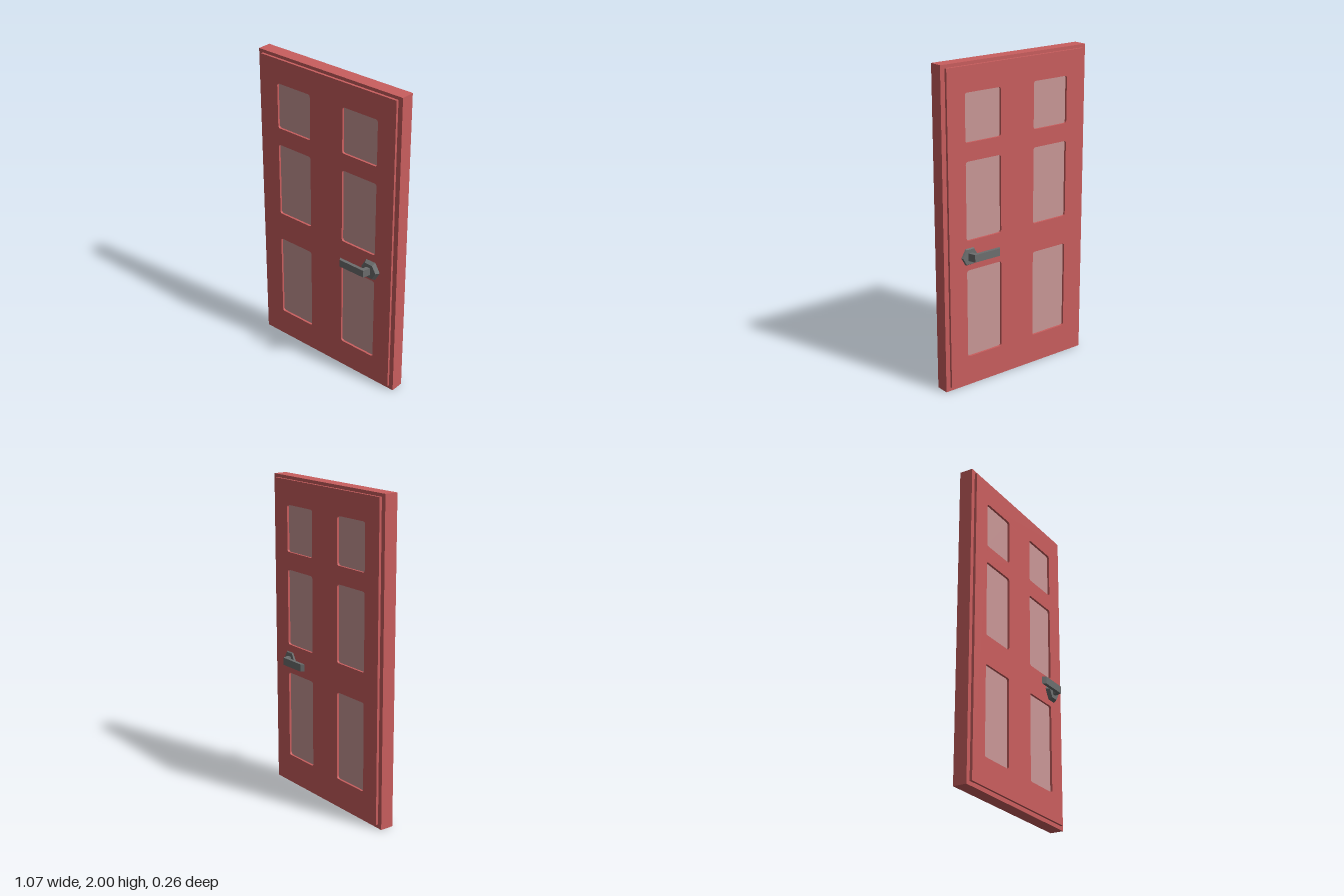
import * as THREE from 'three';

export function createModel() {
  const model = new THREE.Group();
  const red = new THREE.MeshStandardMaterial({ name: 'red paint', color: 0xc95e5e });
  const glass = new THREE.MeshStandardMaterial({ name: 'pale pane', color: 0xc99796 });
  const metal = new THREE.MeshStandardMaterial({ name: 'dark metal', color: 0x6c6e6e });

  const add = (name, geometry, material, x = 0, y = 0, z = 0) => {
    const mesh = new THREE.Mesh(geometry, material);
    mesh.name = name;
    mesh.position.set(x, y, z);
    model.add(mesh);
    return mesh;
  };

  // Trace a rectangle with small rounded corners
  const roundedRect = (path, x0, y0, x1, y1, r) => {
    path.moveTo(x0 + r, y0);
    path.lineTo(x1 - r, y0);
    path.quadraticCurveTo(x1, y0, x1, y0 + r);
    path.lineTo(x1, y1 - r);
    path.quadraticCurveTo(x1, y1, x1 - r, y1);
    path.lineTo(x0 + r, y1);
    path.quadraticCurveTo(x0, y1, x0, y1 - r);
    path.lineTo(x0, y0 + r);
    path.quadraticCurveTo(x0, y0, x0 + r, y0);
    return path;
  };

  // Core, whose edge shows as the outer frame
  add('frame', new THREE.BoxGeometry(1.066, 2, 0.086), red, 0, 1, -0.013);

  // Raised panel on both faces, pierced by six windows
  const panel = new THREE.Shape();
  panel.moveTo(-0.503, 0.025);
  panel.lineTo(0.503, 0.025);
  panel.lineTo(0.503, 1.98);
  panel.lineTo(-0.503, 1.98);
  panel.closePath();
  const rows = [[0.197, 0.757], [0.942, 1.424], [1.535, 1.827]];
  for (const [y0, y1] of rows) {
    for (const side of [-1, 1]) {
      const x = side * 0.251;
      panel.holes.push(roundedRect(new THREE.Path(), x - 0.128, y0, x + 0.128, y1, 0.016));
      // Recessed pane, its edges tucked inside the panel
      add('windowPane', new THREE.BoxGeometry(0.27, y1 - y0 + 0.014, 0.09), glass, x, (y0 + y1) / 2, -0.013);
    }
  }
  const panelGeometry = new THREE.ExtrudeGeometry(panel, { depth: 0.118, bevelEnabled: false, curveSegments: 4 });
  add('raisedPanel', panelGeometry, red, 0, 0, -0.072);

  // Lever handle and hexagonal rose on each face
  const leverProfile = [
    [0.163, 0.107], [0.177, 0.128], [0.36, 0.128], [0.375, 0.076], [0.346, 0.076], [0.339, 0.107],
  ];
  for (const side of [1, -1]) {
    const rose = new THREE.CylinderGeometry(0.054, 0.069, 0.023, 6);
    rose.rotateY(Math.PI / 2);
    rose.rotateX(side * Math.PI / 2);
    const roseMesh = add(side > 0 ? 'frontRose' : 'backRose', rose.toNonIndexed(), metal, 0.36, 0.844, side * 0.0695);
    roseMesh.geometry.computeVertexNormals();

    const shape = new THREE.Shape(leverProfile.map(([x, z]) => new THREE.Vector2(x, side * z)));
    const lever = new THREE.ExtrudeGeometry(shape, { depth: 0.047, bevelEnabled: false });
    lever.rotateX(Math.PI / 2);
    add(side > 0 ? 'frontLever' : 'backLever', lever, metal, 0, 0.868, 0);
  }

  return model;
}
